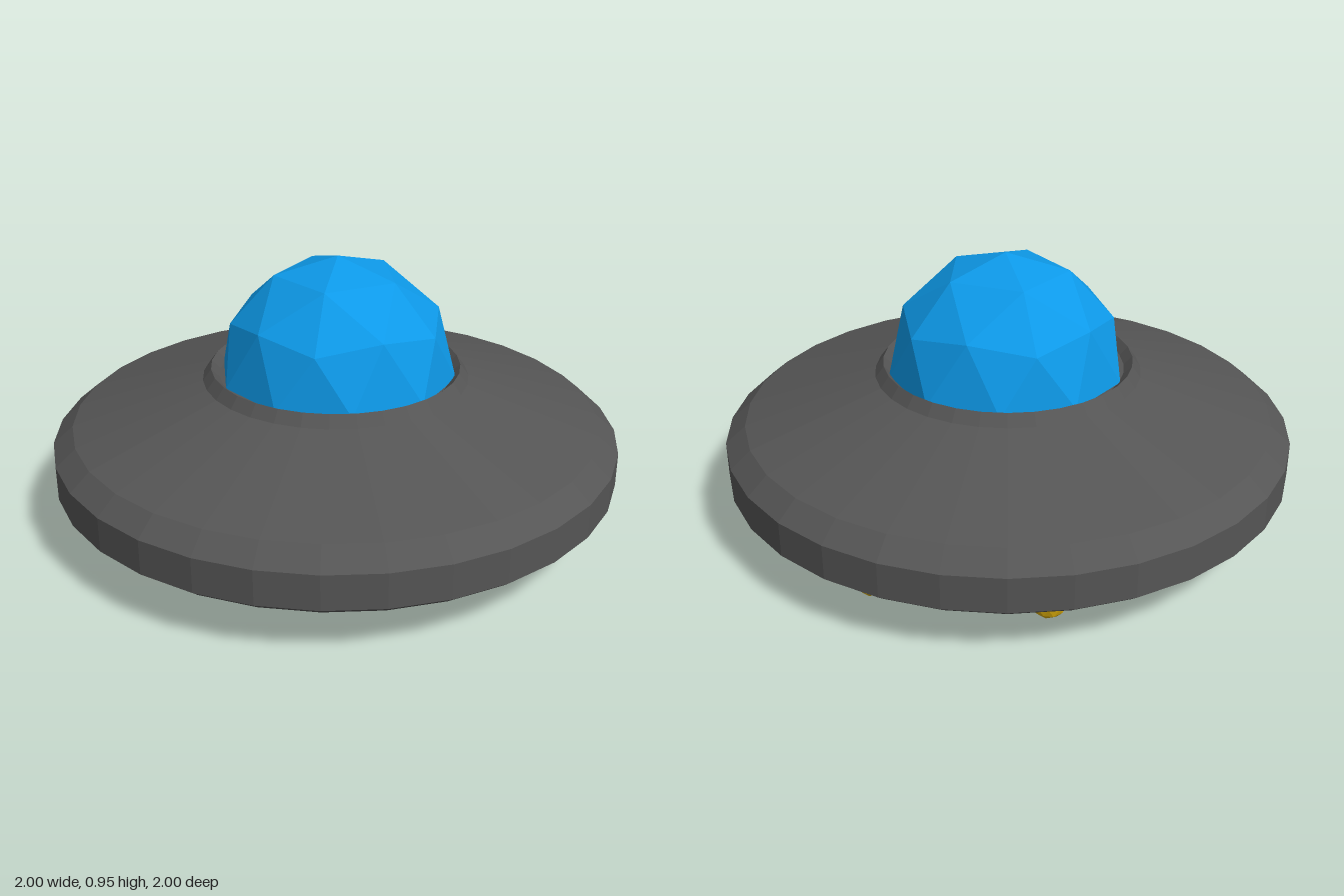
import * as THREE from 'three';

const material = (color) => new THREE.MeshStandardMaterial({ color, flatShading: true });

// Faceted ball with one vertex pointing straight up
function ball(radius) {
  const golden = (1 + Math.sqrt(5)) / 2;
  return new THREE.IcosahedronGeometry(radius, 1).rotateZ(-Math.atan(1 / golden));
}

export function createModel() {
  const saucer = new THREE.Group();
  saucer.name = 'flyingSaucer';

  // Hull: one turned profile, from the recessed underside to the cockpit seat
  const profile = [
    [0, 0.085], [0.36, 0.085], [0.5, 0], [0.58, 0],
    [0.97, 0.17], [1, 0.195], [1, 0.315], [0.93, 0.375],
    [0.47, 0.52], [0.44, 0.56], [0.41, 0.53], [0, 0.53],
  ].map(([r, y]) => new THREE.Vector2(r, y));
  const hull = new THREE.Mesh(new THREE.LatheGeometry(profile, 32), material(0x555555));
  hull.name = 'hull';
  saucer.add(hull);

  // Cockpit dome, its lower half sunk into the hull
  const dome = new THREE.Mesh(ball(0.42), material(0x0d99e8));
  dome.name = 'cockpitDome';
  dome.position.set(0.01, 0.53, 0);
  saucer.add(dome);

  // Ring of ten slightly uneven lights under the rim: [x, z]
  const lights = new THREE.Group();
  lights.name = 'undersideLights';
  const spots = [
    [0.85, 0.065], [0.7, 0.53], [0.31, 0.79], [-0.17, 0.81], [-0.645, 0.5],
    [-0.8, -0.07], [-0.58, -0.58], [-0.12, -0.81], [0.37, -0.78], [0.77, -0.4],
  ];
  const lightGeometry = ball(0.058);
  const lightMaterial = material(0xd9ab0a);
  for (const [x, z] of spots) {
    const light = new THREE.Mesh(lightGeometry, lightMaterial);
    light.name = 'light';
    light.position.set(x, 0.145 + 0.017 * (x + z), z);
    lights.add(light);
  }
  saucer.add(lights);

  return saucer;
}
